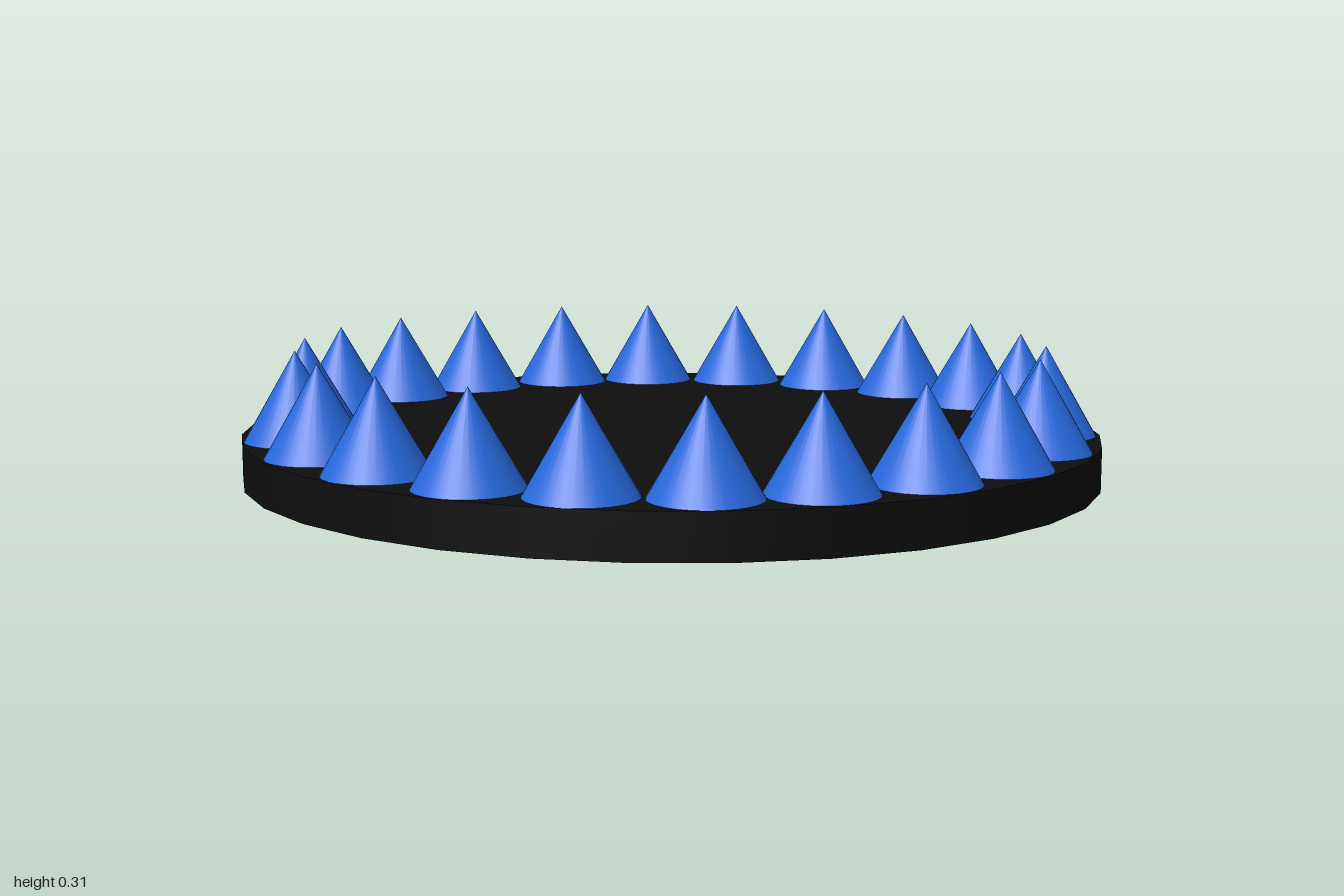
import * as THREE from 'three';

// Cone bearings around the rim in degrees, clockwise from the back (slightly uneven by hand)
const BEARINGS = [
  1.8, 18.1, 34.5, 51.1, 67.7, 84.4, 100.6, 116.7, 132.9, 148.4, 164.5,
  180.4, 197, 213.7, 229.9, 246.6, 262.7, 279.6, 296.3, 313.2, 329.1, 345.3,
];
const DISC_HEIGHT = 0.1;
const CONE_HEIGHT = 0.205;
const DEPTH = 0.97; // the ring is slightly oval

export function createModel() {
  const model = new THREE.Group();
  model.name = 'spikedDisc';

  // Black base plate
  const black = new THREE.MeshStandardMaterial({ color: 0x0e0e0e });
  const disc = new THREE.Mesh(new THREE.CylinderGeometry(1, 1, DISC_HEIGHT, 32), black);
  disc.name = 'baseDisc';
  disc.scale.z = DEPTH;
  disc.position.y = DISC_HEIGHT / 2;
  model.add(disc);

  // Ring of blue cones standing on the rim
  const blue = new THREE.MeshStandardMaterial({ color: 0x2768dc });
  const coneGeometry = new THREE.ConeGeometry(0.118, CONE_HEIGHT, 32);
  const cones = new THREE.Group();
  cones.name = 'coneRing';
  BEARINGS.forEach((degrees, i) => {
    const a = THREE.MathUtils.degToRad(degrees);
    const cone = new THREE.Mesh(coneGeometry, blue);
    cone.name = `cone${i + 1}`;
    cone.position.set(0.872 * Math.sin(a), DISC_HEIGHT + CONE_HEIGHT / 2, -0.848 * Math.cos(a));
    cones.add(cone);
  });
  model.add(cones);

  return model;
}
